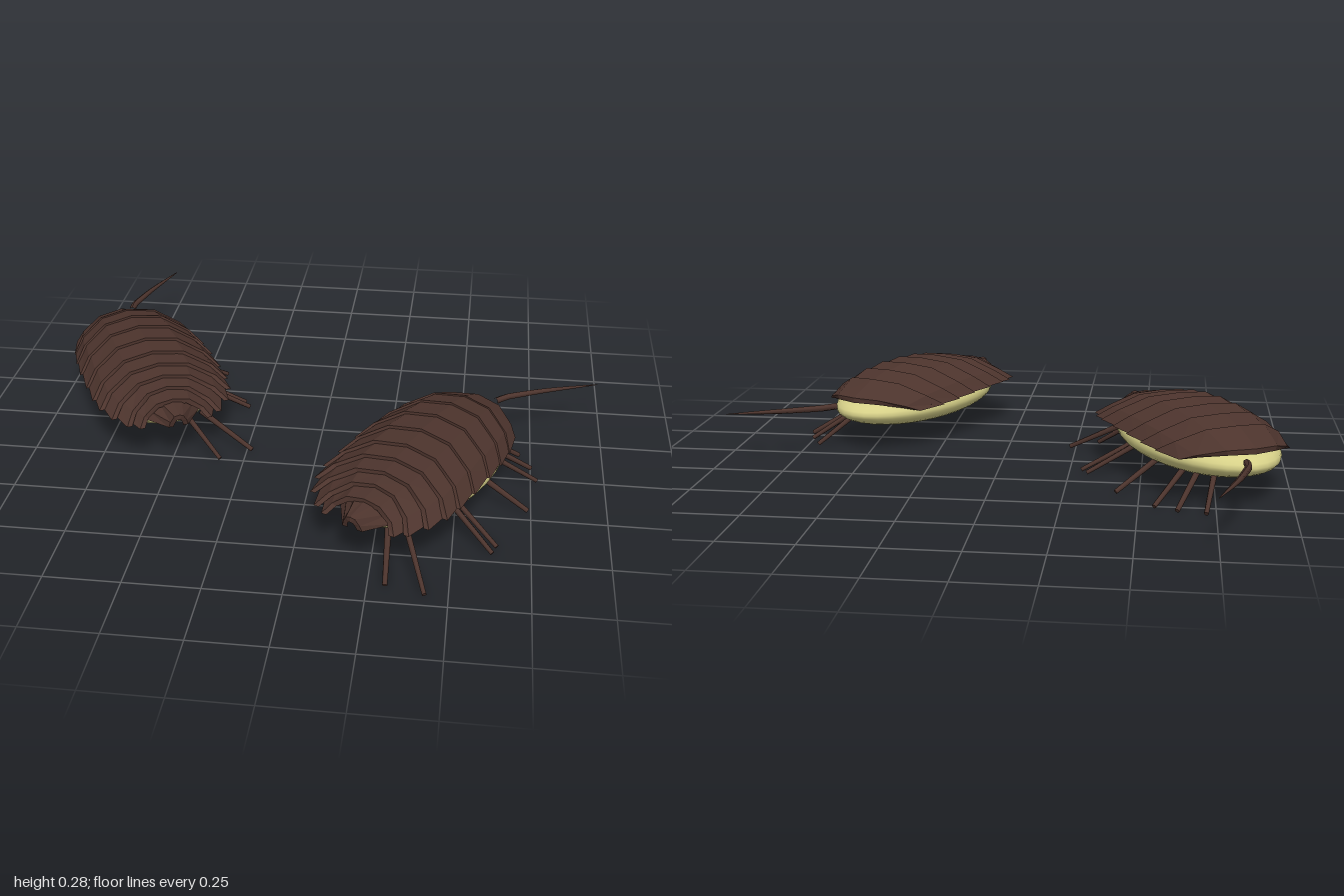
import * as THREE from 'three';

const brown = new THREE.MeshStandardMaterial({ color: 0x4d342d });
brown.name = 'shell brown';
const cream = new THREE.MeshStandardMaterial({ color: 0xd6d088 });
cream.name = 'belly cream';
const brownFlat = brown;

// cross-section of a shell plate: position across and height, both 0..1
const SECTION = [[-1, 0], [-0.82, 0.42], [-0.45, 0.9], [0, 1], [0.45, 0.9], [0.82, 0.42], [1, 0]];

// closed ring of points: outer arch left to right, then inner arch back
function archRing({ z, w, base, top, sweep, tooth = 0 }, thick) {
  const arch = (d) => SECTION.map(([t, h]) => [
    t * (w - d),
    base + h * (top - base - d),
    z + sweep * t * t + (Math.abs(t) === 1 ? tooth : 0),
  ]);
  return [...arch(0), ...arch(thick).reverse()];
}

// solid plate lofted between a front and a rear arch
function plateGeometry(front, rear, thick = 0.018) {
  const n = SECTION.length, m = 2 * n;
  const points = [...archRing(front, thick), ...archRing(rear, thick)];
  const index = [];
  for (let i = 0; i < m; i++) {
    const j = (i + 1) % m;
    index.push(i, m + i, j, j, m + i, m + j);
  }
  for (let i = 0; i < n - 1; i++) {
    const a = i, b = i + 1, c = m - 1 - i, d = m - 2 - i;
    index.push(m + a, m + c, m + b, m + b, m + c, m + d);
    index.push(a, b, c, b, d, c);
  }
  const indexed = new THREE.BufferGeometry();
  indexed.setAttribute('position', new THREE.Float32BufferAttribute(points.flat(), 3));
  indexed.setIndex(index);
  const geometry = indexed.toNonIndexed();
  geometry.computeVertexNormals();
  return geometry;
}

// tapered rod between two points
function rod(name, from, to, r0, r1) {
  const a = new THREE.Vector3(...from), b = new THREE.Vector3(...to);
  const dir = b.clone().sub(a);
  const mesh = new THREE.Mesh(new THREE.CylinderGeometry(r1, r0, dir.length(), 6), brownFlat);
  mesh.name = name;
  mesh.position.copy(a).add(b).multiplyScalar(0.5);
  mesh.quaternion.setFromUnitVectors(new THREE.Vector3(0, 1, 0), dir.normalize());
  return mesh;
}

// curved feeler that narrows to a point
function antenna() {
  const curve = new THREE.CatmullRomCurve3([
    [0.053, -0.44], [0.075, -0.49], [0.108, -0.53], [0.17, -0.6], [0.315, -0.742],
  ].map(([x, z]) => new THREE.Vector3(x, 0.175, z)));
  const steps = 14, sides = 6;
  const geometry = new THREE.TubeGeometry(curve, steps, 0.012, sides, false);
  const pos = geometry.attributes.position, v = new THREE.Vector3();
  for (let i = 0; i < pos.count; i++) {
    const u = Math.floor(i / (sides + 1)) / steps;
    const centre = curve.getPointAt(u);
    v.fromBufferAttribute(pos, i).sub(centre).multiplyScalar(1 - 0.9 * u * u).add(centre);
    pos.setXYZ(i, v.x, v.y, v.z);
  }
  geometry.computeVertexNormals();
  const mesh = new THREE.Mesh(geometry, brown);
  mesh.name = 'antenna';
  return mesh;
}

function woodlouse(name) {
  const bug = new THREE.Group();
  bug.name = name;

  // soft oval belly
  const belly = new THREE.Mesh(new THREE.SphereGeometry(1, 32, 20), cream);
  belly.name = 'belly';
  belly.scale.set(0.232, 0.082, 0.414);
  belly.position.y = 0.141;
  bug.add(belly);

  // overlapping back plates, head to tail: z, half width, base, top, sweep
  const stations = [
    [-0.405, 0.205, 0.155, 0.205, 0.13],
    [-0.29, 0.232, 0.16, 0.25, 0.11],
    [-0.19, 0.243, 0.165, 0.268, 0.1],
    [-0.08, 0.248, 0.17, 0.275, 0.09],
    [0.03, 0.248, 0.17, 0.275, 0.09],
    [0.13, 0.246, 0.17, 0.268, 0.09],
    [0.21, 0.236, 0.165, 0.258, 0.08],
    [0.28, 0.208, 0.16, 0.245, 0.08],
    [0.34, 0.165, 0.15, 0.23, 0.07],
    [0.41, 0.125, 0.145, 0.215, 0.02],
  ].map(([z, w, base, top, sweep]) => ({ z, w, base, top, sweep }));
  const shell = new THREE.Group();
  shell.name = 'shell';
  for (let i = 1; i < stations.length; i++) {
    const f = stations[i - 1], r = stations[i];
    const tuck = i > 1 ? 0.025 : 0;
    const front = { ...f, z: f.z - tuck, w: f.w - tuck * 0.4, top: f.top - tuck * 0.3 };
    const rear = { ...r, w: r.w + 0.004, top: r.top + 0.004, tooth: 0.02 };
    const plate = new THREE.Mesh(plateGeometry(front, rear), brown);
    plate.name = 'backPlate' + i;
    shell.add(plate);
  }
  // pointed tail plate
  const tail = new THREE.Mesh(plateGeometry(
    { z: 0.36, w: 0.1, base: 0.145, top: 0.212, sweep: 0.02 },
    { z: 0.495, w: 0.035, base: 0.15, top: 0.2, sweep: -0.015 },
  ), brown);
  tail.name = 'tailPlate';
  shell.add(tail);
  bug.add(shell);

  // legs, all reaching out to the left: foot x and z
  const feet = [
    [0.17, -0.405], [0.242, -0.345], [0.292, -0.28], [0.342, -0.092],
    [0.342, 0.15], [0.345, 0.19], [0.26, 0.492], [0.135, 0.512],
  ];
  feet.forEach(([x, z], i) => {
    bug.add(rod('leg' + (i + 1), [x * 0.45, 0.115, z * 0.7], [x, 0.008, z], 0.011, 0.008));
  });

  bug.add(antenna());
  return bug;
}

export function createModel() {
  const model = new THREE.Group();
  model.name = 'woodlicePair';
  const placements = [
    ['rightWoodlouse', -0.685, -0.14, 27],
    ['leftWoodlouse', 0.39, 0.4, -24],
  ];
  for (const [name, x, z, degrees] of placements) {
    const bug = woodlouse(name);
    bug.position.set(x, 0, z);
    bug.rotation.y = THREE.MathUtils.degToRad(degrees);
    model.add(bug);
  }
  return model;
}
